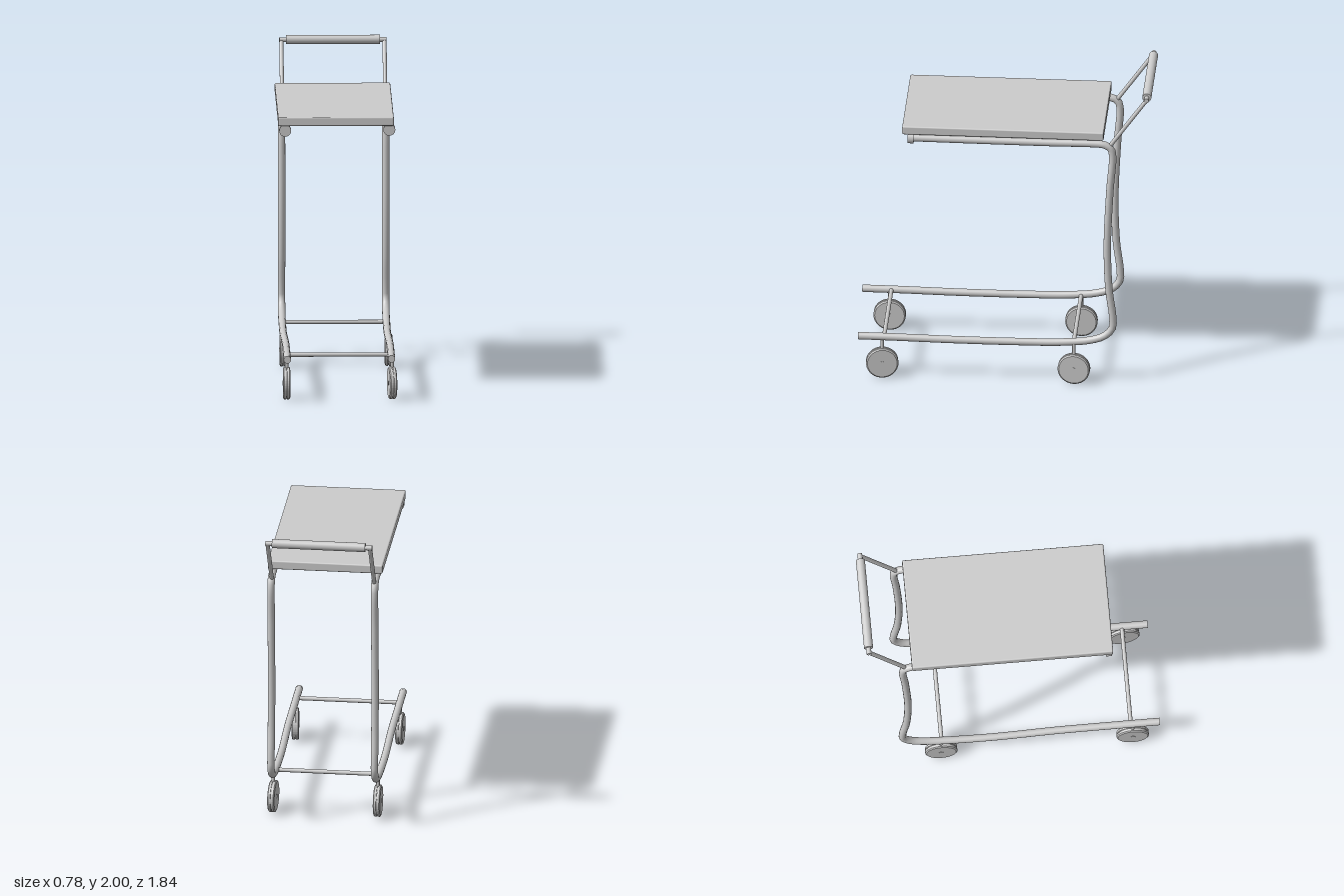
import * as THREE from 'three';
import { RoundedBoxGeometry } from 'three/addons/geometries/RoundedBoxGeometry.js';

const material = new THREE.MeshStandardMaterial({ color: 0xcccccc });
const HALF = 0.322; // half the distance between the two side frames

function add(parent, name, geometry) {
  const mesh = new THREE.Mesh(geometry, material);
  mesh.name = name;
  parent.add(mesh);
  return mesh;
}

// Capped cylinder between two points
function rod(parent, name, a, b, radius, sides = 20) {
  const from = new THREE.Vector3(...a), dir = new THREE.Vector3(...b).sub(from);
  const mesh = add(parent, name, new THREE.CylinderGeometry(radius, radius, dir.length(), sides));
  mesh.position.copy(from).addScaledVector(dir, 0.5);
  mesh.quaternion.setFromUnitVectors(new THREE.Vector3(0, 1, 0), dir.normalize());
  return mesh;
}

// Wheel with a narrow tread groove and small hubs; origin at the axle
function caster(name, x, z, yaw) {
  const g = new THREE.Group();
  g.name = name;
  const half = [[0, 0.024], [0.015, 0.024], [0.015, 0.022], [0.092, 0.022], [0.1, 0.016], [0.1, 0.003], [0.095, 0.002]];
  const profile = [...half.map(([r, y]) => [r, -y]), ...half.slice().reverse()];
  const geometry = new THREE.LatheGeometry(profile.map(p => new THREE.Vector2(...p)), 40).toNonIndexed();
  geometry.computeVertexNormals();
  add(g, 'wheel', geometry).rotation.z = Math.PI / 2;
  rod(g, 'stem', [0, 0.08, 0], [0, 0.17, 0], 0.011, 12);
  g.position.set(x, 0.1, z);
  g.rotation.y = yaw;
  return g;
}

export function createModel() {
  const model = new THREE.Group();
  model.name = 'trolley';
  const cart = new THREE.Group();
  cart.name = 'cart';
  cart.rotation.y = -0.043;
  cart.position.x = 0.005;
  model.add(cart);

  // Side frame path as [y, z], from the upper front end towards the lower front end
  const path = [
    [1.655, 0.2], [1.654, -0.3], [1.656, -0.55], [1.65, -0.62], [1.625, -0.66], [1.57, -0.671],
    [1.35, -0.655], [0.95, -0.638], [0.65, -0.648], [0.46, -0.671], [0.38, -0.668], [0.325, -0.62],
    [0.292, -0.53], [0.272, -0.35], [0.266, -0.1], [0.269, 0.3], [0.274, 0.7],
  ];

  for (const s of [-1, 1]) {
    const x = s * HALF, side = s > 0 ? 'left' : 'right';
    const lowX = x + 0.008; // lower rails drift slightly towards the left
    const topEnd = 0.592 - s * 0.013, lowEnd = 0.914 - s * 0.01;
    const points = path.map(([y, z], i) => new THREE.Vector3(i > 14 ? lowX : x, y, z));
    points.unshift(new THREE.Vector3(x, 1.657, topEnd));
    points.push(new THREE.Vector3(lowX, 0.275, lowEnd));
    add(cart, side + 'FrameTube', new THREE.TubeGeometry(new THREE.CatmullRomCurve3(points), 120, 0.023, 16));
    rod(cart, side + 'TubeEnd', [lowX, 0.275, lowEnd - 0.015], [lowX, 0.275, lowEnd + 0.001], 0.023);
    rod(cart, side + 'RailCap', [x, 1.659, topEnd - 0.017], [x, 1.659, topEnd + 0.018], 0.037, 28);
    // Handle arm rising backwards from the frame corner
    rod(cart, side + 'HandleArm', [x * 0.99, 1.645, -0.655], [x * 0.99, 1.972, -0.884], 0.013, 14);
  }

  // Handle bar and padded grip
  rod(cart, 'handleBar', [-0.332, 1.969, -0.88], [0.332, 1.969, -0.88], 0.015);
  rod(cart, 'grip', [-0.29, 1.97, -0.88], [0.29, 1.97, -0.88], 0.028, 28);

  // Tray: solid slab with softened edges
  add(cart, 'tray', new RoundedBoxGeometry(0.715, 0.056, 1.248, 3, 0.009)).position.set(-0.008, 1.717, 0.008);

  // Cross bars between the lower rails, with a caster near each end
  for (const [end, z, wheelZ, yaw] of [['front', 0.745, 0.756, 0.1], ['rear', -0.43, -0.432, -0.06]]) {
    rod(cart, end + 'CrossBar', [-HALF, 0.276, z], [HALF, 0.276, z], 0.013, 14);
    cart.add(caster(end + 'RightCaster', -0.316, wheelZ, 0));
    cart.add(caster(end + 'LeftCaster', 0.336, wheelZ, yaw));
  }
  return model;
}
